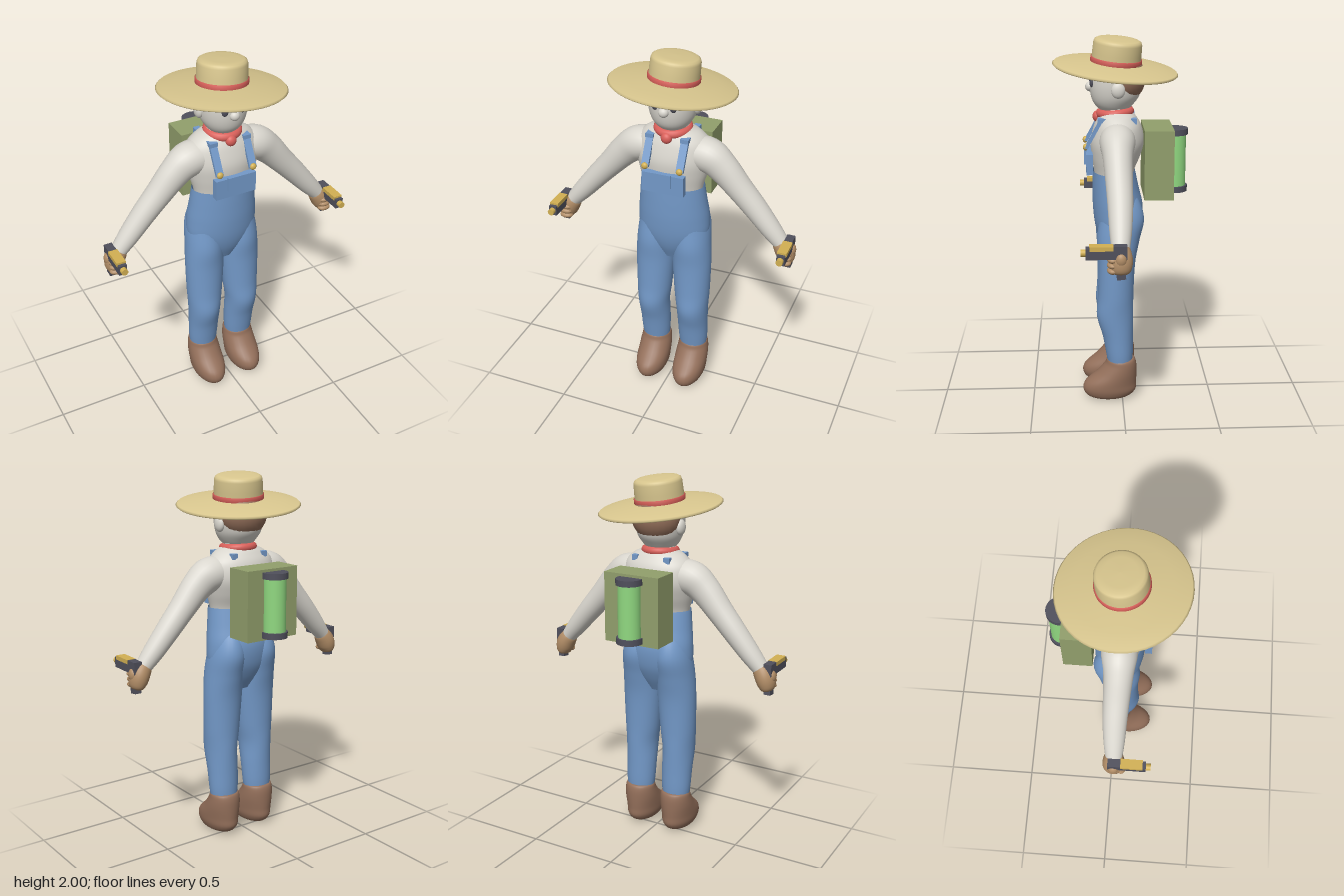
import * as THREE from 'three';

const mat = (name, color, side = THREE.FrontSide) => {
  const m = new THREE.MeshStandardMaterial({ color, side });
  m.name = name;
  return m;
};

// Smooth body through sections [x, y, z, radius across, radius in z]
function loft(sections, sides = 28, steps = 6) {
  const path = new THREE.CatmullRomCurve3(sections.map(s => new THREE.Vector3(s[0], s[1], s[2])), false, 'catmullrom');
  const size = new THREE.CatmullRomCurve3(sections.map(s => new THREE.Vector3(s[3], s[4], 0)), false, 'catmullrom');
  const rings = (sections.length - 1) * steps;
  const pos = [], idx = [];
  for (let i = 0; i <= rings; i++) {
    const c = path.getPoint(i / rings), r = size.getPoint(i / rings);
    const t = path.getTangent(i / rings).setZ(0).normalize();
    for (let j = 0; j < sides; j++) {
      const a = (j / sides) * Math.PI * 2;
      const u = Math.max(r.x, 0.001) * Math.cos(a);
      pos.push(c.x + t.y * u, c.y - t.x * u, c.z + Math.max(r.y, 0.001) * Math.sin(a));
      if (i < rings) {
        const p = i * sides + j, q = i * sides + ((j + 1) % sides);
        idx.push(p, p + sides, q, q, p + sides, q + sides);
      }
    }
  }
  const g = new THREE.BufferGeometry();
  g.setAttribute('position', new THREE.Float32BufferAttribute(pos, 3));
  g.setIndex(idx);
  g.computeVertexNormals();
  return g;
}

const lathe = pts => new THREE.LatheGeometry(pts.map(p => new THREE.Vector2(p[0], p[1])), 48);

export function createModel() {
  const model = new THREE.Group();
  model.name = 'farmer';
  const cloth = mat('pale shirt and skin', 0xd9d6ce);
  const denim = mat('blue denim', 0x7399c8, THREE.DoubleSide);
  const straw = mat('straw', 0xd8c68e);
  const brown = mat('brown leather and hair', 0x936f5a, THREE.DoubleSide);
  const tan = mat('tan gloves', 0xb08c66);
  const red = mat('red cloth', 0xd9605a);
  const olive = mat('olive pack', 0x929f6c);
  const glow = mat('light green tank', 0x90d880);
  const dark = mat('dark metal', 0x50505c);
  const gold = mat('gold', 0xd2b053);

  const add = (name, geo, material, x = 0, y = 0, z = 0, parent = model) => {
    const m = new THREE.Mesh(geo, material);
    m.name = name;
    m.position.set(x, y, z);
    parent.add(m);
    return m;
  };
  const box = (name, w, h, d, material, x, y, z, parent) =>
    add(name, new THREE.BoxGeometry(w, h, d), material, x, y, z, parent);
  const ball = (name, rx, ry, rz, material, x, y, z, parent) => {
    const m = add(name, new THREE.SphereGeometry(1, 24, 16), material, x, y, z, parent);
    m.scale.set(rx, ry, rz);
    return m;
  };

  // Shirt body and trouser seat
  add('shirt', loft([
    [0, 1.22, 0.04, 0.155, 0.1], [0, 1.3, 0.04, 0.168, 0.108], [0, 1.38, 0.03, 0.19, 0.13],
    [0, 1.46, 0.022, 0.205, 0.142], [0, 1.54, 0.02, 0.195, 0.125], [0, 1.59, 0.025, 0.15, 0.1],
    [0, 1.62, 0.03, 0.095, 0.08], [0, 1.66, 0.03, 0.07, 0.07]], 40), cloth);
  add('trouserSeat', loft([
    [0, 0.84, 0.03, 0.08, 0.06], [0, 0.92, 0.025, 0.15, 0.1], [0, 1.0, 0.02, 0.195, 0.125],
    [0, 1.1, 0.02, 0.198, 0.135], [0, 1.2, 0.032, 0.187, 0.125], [0, 1.3, 0.042, 0.176, 0.114]], 40), denim);

  // Bib
  box('bib', 0.23, 0.11, 0.035, denim, 0, 1.35, 0.172);
  box('bibPocket', 0.1, 0.075, 0.012, denim, 0, 1.375, 0.194);

  // Head
  add('head', loft([
    [0, 1.61, 0.035, 0.06, 0.06], [0, 1.65, 0.04, 0.095, 0.1], [0, 1.7, 0.033, 0.12, 0.128],
    [0, 1.77, 0.03, 0.13, 0.138], [0, 1.84, 0.028, 0.122, 0.13], [0, 1.89, 0.025, 0.08, 0.085],
    [0, 1.91, 0.025, 0.001, 0.001]], 36), cloth);
  ball('hair', 0.133, 0.125, 0.115, brown, 0, 1.79, -0.012);
  ball('nose', 0.027, 0.026, 0.024, cloth, 0, 1.745, 0.166);

  // Neckerchief
  const scarf = add('neckerchief', new THREE.TorusGeometry(0.078, 0.024, 14, 36), red, 0, 1.61, 0.035);
  scarf.rotation.x = Math.PI / 2 + 0.08;
  ball('neckerchiefKnot', 0.03, 0.03, 0.025, red, 0, 1.587, 0.128);

  // Straw hat
  const hat = new THREE.Group();
  hat.name = 'hat';
  hat.position.set(0, 1.857, 0.03);
  hat.rotation.set(-0.1, 0, -0.075);
  model.add(hat);
  add('hatBrim', lathe([[0, -0.005], [0.12, -0.005], [0.24, -0.014], [0.322, -0.026], [0.33, -0.019],
    [0.322, -0.011], [0.24, 0.002], [0.125, 0.014], [0.1, 0.014]]), straw, 0, 0, 0, hat);
  add('hatCrown', lathe([[0.13, 0], [0.129, 0.06], [0.127, 0.112], [0.122, 0.126], [0.11, 0.133],
    [0.08, 0.136], [0, 0.138]]), straw, 0, 0, 0, hat);
  add('hatBand', lathe([[0.128, 0.008], [0.135, 0.01], [0.135, 0.036], [0.128, 0.038]]), red, 0, 0, 0, hat);

  // Backpack with tank
  box('backpack', 0.32, 0.37, 0.155, olive, 0, 1.35, -0.192);
  add('tank', new THREE.CylinderGeometry(0.06, 0.06, 0.3, 32), glow, 0, 1.35, -0.285);
  for (const y of [1.195, 1.505])
    add('tankCap', new THREE.CylinderGeometry(0.07, 0.07, 0.032, 32), dark, 0, y, -0.285);

  // Paired parts
  for (const s of [1, -1]) {
    const side = s > 0 ? 'left' : 'right';
    const mirrored = list => list.map(p => [p[0] * s, ...p.slice(1)]);

    add(side + 'Leg', loft(mirrored([
      [0.115, 0.21, 0.012, 0.076, 0.068], [0.115, 0.28, 0.016, 0.083, 0.075], [0.115, 0.38, 0.025, 0.086, 0.084],
      [0.117, 0.5, 0.04, 0.089, 0.1], [0.113, 0.62, 0.036, 0.1, 0.097], [0.108, 0.8, 0.03, 0.108, 0.1],
      [0.105, 0.93, 0.022, 0.104, 0.115], [0.1, 1.05, 0.003, 0.095, 0.12], [0.09, 1.16, 0.015, 0.07, 0.1],
      [0.08, 1.24, 0.03, 0.03, 0.05]])), denim);
    add(side + 'Boot', loft(mirrored([
      [0.115, 0.002, 0.08, 0.001, 0.001], [0.115, 0.012, 0.076, 0.06, 0.105], [0.115, 0.05, 0.072, 0.085, 0.146],
      [0.115, 0.1, 0.065, 0.092, 0.143], [0.115, 0.16, 0.03, 0.092, 0.11], [0.115, 0.21, 0.01, 0.087, 0.088],
      [0.115, 0.24, 0.008, 0.08, 0.077], [0.115, 0.246, 0.008, 0.06, 0.06]])), brown);
    add(side + 'Arm', loft(mirrored([
      [0.08, 1.49, 0.025, 0.08, 0.09], [0.19, 1.48, 0.028, 0.093, 0.092], [0.27, 1.425, 0.03, 0.083, 0.077],
      [0.365, 1.32, 0.027, 0.07, 0.069], [0.45, 1.225, 0.025, 0.063, 0.064], [0.54, 1.12, 0.027, 0.054, 0.056],
      [0.605, 1.045, 0.03, 0.043, 0.045]])), cloth);

    // Gloved fist
    add(side + 'Hand', loft(mirrored([
      [0.585, 1.068, 0.03, 0.025, 0.03], [0.602, 1.048, 0.03, 0.046, 0.048], [0.625, 1.01, 0.03, 0.052, 0.058],
      [0.638, 0.97, 0.03, 0.047, 0.055], [0.642, 0.94, 0.03, 0.03, 0.04], [0.643, 0.93, 0.03, 0.001, 0.001]])), tan);
    ball(side + 'Thumb', 0.022, 0.035, 0.028, tan, s * 0.665, 1.015, 0.03);
    for (let i = 0; i < 3; i++)
      ball(side + 'Finger', 0.038, 0.018, 0.028, tan, s * 0.638, 0.955 + i * 0.028, 0.07);

    // Hand blaster
    const blaster = new THREE.Group();
    blaster.name = side + 'Blaster';
    blaster.position.set(s * 0.65, 1.05, 0);
    model.add(blaster);
    box('blasterBody', 0.044, 0.055, 0.2, dark, 0, -0.002, 0.1, blaster);
    box('blasterTop', 0.05, 0.022, 0.115, gold, 0, 0.025, 0.125, blaster);
    box('blasterRear', 0.044, 0.022, 0.07, dark, 0, 0.024, 0.035, blaster);
    add('blasterMuzzle', new THREE.CylinderGeometry(0.018, 0.018, 0.03, 20), gold, 0, 0, 0.21, blaster).rotation.x = Math.PI / 2;
    box('blasterGrip', 0.036, 0.12, 0.045, dark, 0, -0.075, 0.035, blaster).rotation.x = 0.12;

    // Overall straps with buttons
    box(side + 'Strap', 0.04, 0.165, 0.016, denim, s * 0.095, 1.508, 0.15).rotation.x = -0.5;
    box(side + 'StrapTop', 0.044, 0.022, 0.045, denim, s * 0.095, 1.582, 0.105);
    box(side + 'StrapBack', 0.034, 0.03, 0.03, denim, s * 0.095, 1.578, -0.06);
    ball(side + 'Button', 0.018, 0.018, 0.014, gold, s * 0.095, 1.442, 0.192);

    // Face details
    ball(side + 'Ear', 0.022, 0.042, 0.036, cloth, s * 0.128, 1.742, 0.022);
    ball(side + 'Eye', 0.017, 0.024, 0.01, dark, s * 0.05, 1.772, 0.157).rotation.y = s * 0.35;
    const brow = box(side + 'Eyebrow', 0.045, 0.01, 0.012, brown, s * 0.052, 1.812, 0.152);
    brow.rotation.set(0, s * 0.38, s * 0.12);
  }
  return model;
}
